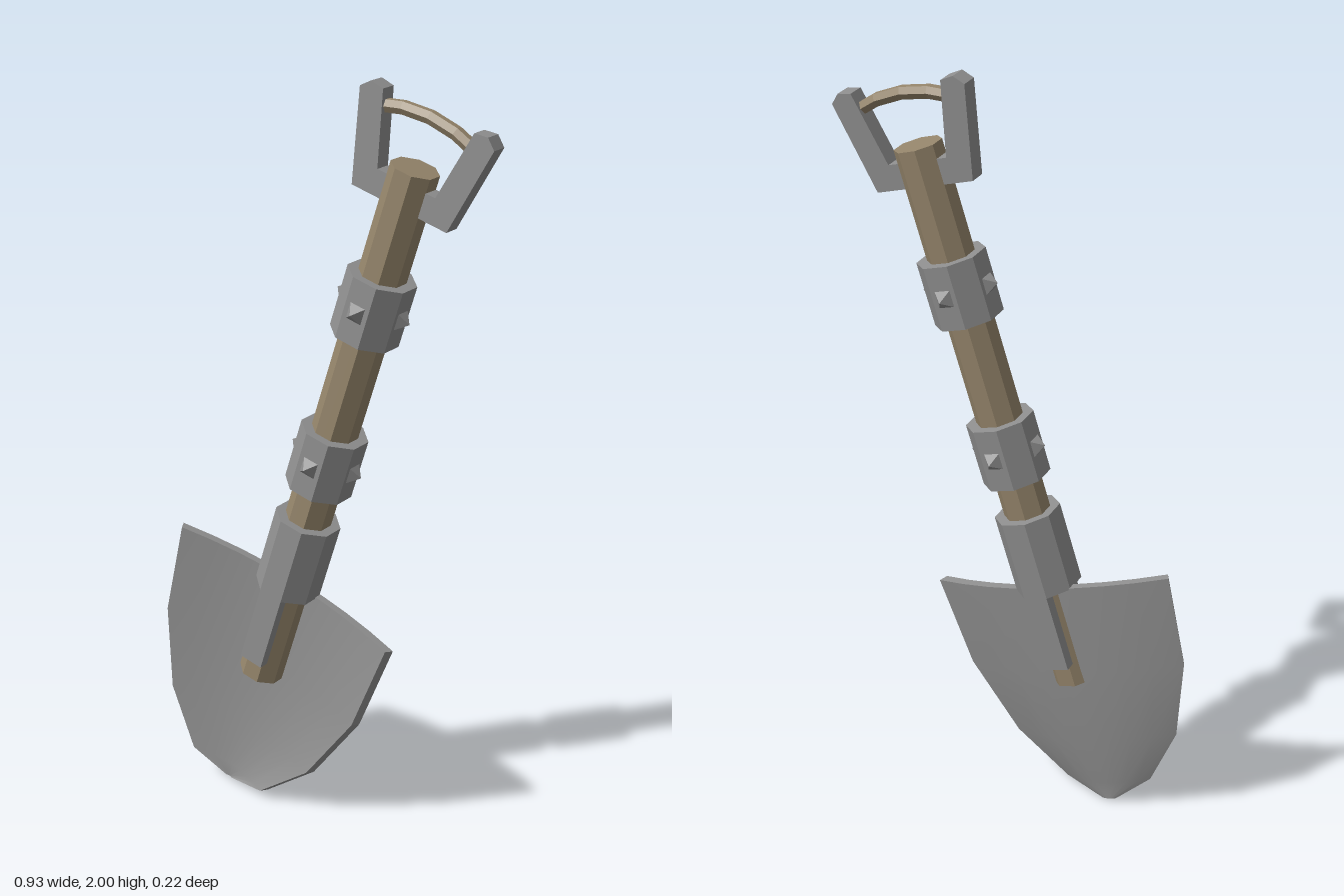
import * as THREE from 'three';

const steel = new THREE.MeshStandardMaterial({ color: 0x8f8f8f });
steel.name = 'steel';
const wood = new THREE.MeshStandardMaterial({ color: 0x95856b });
wood.name = 'wood';

// Gives every face its own flat normal
function flat(geo) {
  const g = geo.index ? geo.toNonIndexed() : geo;
  g.computeVertexNormals();
  return g;
}

function add(parent, name, geo, material, x = 0, y = 0, z = 0) {
  const mesh = new THREE.Mesh(geo, material);
  mesh.name = name;
  mesh.position.set(x, y, z);
  parent.add(mesh);
  return mesh;
}

// Eight-sided post from y0 to y1 with a flat side facing +z
function octagon(parent, name, radius, y0, y1, material) {
  const geo = new THREE.CylinderGeometry(radius, radius, y1 - y0, 8, 1, false, Math.PI / 8);
  return add(parent, name, flat(geo), material, 0, (y0 + y1) / 2, 0);
}

// Blade cross-sections: height, half width, edge depth, dish depth
const bladeRows = [
  [-0.325, 0.345, 0.022, 0.05],
  [-0.58, 0.322, 0.022, 0.05],
  [-0.797, 0.242, 0.022, 0.045],
  [-0.941, 0.127, 0.019, 0.028],
  [-0.992, 0.02, -0.007, 0.003],
];
const COLS = 8;
const LAST = bladeRows.length - 1;
const HALF_THICK = 0.011;
const INSET = 0.011;

// Point on the front (side 1) or back (side -1) face; the front is slightly smaller
function bladePoint(row, col, side) {
  const [y, w, edge, dish] = bladeRows[row];
  const t = (col / COLS) * 2 - 1;
  const inset = side > 0 ? INSET : 0;
  return [t * (w - inset), row === LAST ? y + inset : y, edge - dish * (1 - t * t) + side * HALF_THICK];
}

// One smooth dished face of the blade
function bladeFace(side) {
  const geo = new THREE.PlaneGeometry(1, 1, COLS, LAST);
  const pos = geo.attributes.position;
  for (let i = 0; i < pos.count; i++) {
    const col = i % (COLS + 1);
    const row = Math.floor(i / (COLS + 1));
    pos.setXYZ(i, ...bladePoint(row, side > 0 ? col : COLS - col, side));
  }
  geo.computeVertexNormals();
  return geo;
}

// Narrow strip joining the two faces, walked clockwise seen from the front
function bladeRim() {
  const loop = [];
  for (let c = 0; c < COLS; c++) loop.push([0, c]);
  for (let r = 0; r < LAST; r++) loop.push([r, COLS]);
  for (let c = COLS; c > 0; c--) loop.push([LAST, c]);
  for (let r = LAST; r > 0; r--) loop.push([r, 0]);
  const verts = [];
  loop.forEach((p, i) => {
    const q = loop[(i + 1) % loop.length];
    const a = bladePoint(...p, 1), b = bladePoint(...q, 1);
    const c = bladePoint(...q, -1), d = bladePoint(...p, -1);
    verts.push(...a, ...b, ...c, ...a, ...c, ...d);
  });
  const geo = new THREE.BufferGeometry();
  geo.setAttribute('position', new THREE.Float32BufferAttribute(verts, 3));
  return flat(geo);
}

function extrudeOutline(points, depth) {
  const shape = new THREE.Shape(points.map(([x, y]) => new THREE.Vector2(x, y)));
  const geo = new THREE.ExtrudeGeometry(shape, { depth, bevelEnabled: false });
  geo.translate(0, 0, -depth / 2);
  return flat(geo);
}

export function createModel() {
  const model = new THREE.Group();
  model.name = 'shovel';

  // Everything is built upright, then twisted and leaned
  const body = new THREE.Group();
  body.name = 'shovelBody';
  body.rotation.order = 'ZYX';
  body.rotation.set(0.01, THREE.MathUtils.degToRad(-12), THREE.MathUtils.degToRad(-16.2));
  body.position.set(0, 0.96, 0);
  model.add(body);

  octagon(body, 'shaft', 0.061, -0.61, 0.88, wood);

  // Socket with a strap down the front and back
  octagon(body, 'socket', 0.087, -0.33, -0.114, steel);
  for (const side of [1, -1]) {
    add(body, side > 0 ? 'frontStrap' : 'backStrap',
      flat(new THREE.BoxGeometry(0.066, 0.225, 0.03)), steel, 0, -0.432, side * 0.0653);
  }

  // Spiked collars
  [0.068, 0.511].forEach((y, n) => {
    const collar = new THREE.Group();
    collar.name = n ? 'upperCollar' : 'lowerCollar';
    collar.position.y = y;
    body.add(collar);
    octagon(collar, 'collarBand', 0.0885, -0.083, 0.083, steel);
    for (let i = 0; i < 4; i++) {
      const geo = new THREE.ConeGeometry(0.031, 0.027, 4, 1, false, Math.PI / 4);
      geo.rotateX(Math.PI / 2);
      geo.translate(0, 0, 0.0945);
      geo.rotateY((i * Math.PI) / 2);
      add(collar, 'spike', flat(geo), steel);
    }
  });

  // Flared brackets on both sides of the grip
  const bracket = [[0.035, 0.78], [0.137, 0.78], [0.189, 1.013], [0.164, 1.036],
    [0.128, 1.031], [0.083, 0.845], [0.035, 0.845]];
  add(body, 'leftBracket', extrudeOutline(bracket, 0.048), steel);
  const mirrored = bracket.map(([x, y]) => [-x, y]).reverse();
  add(body, 'rightBracket', extrudeOutline(mirrored, 0.048), steel);

  // Bowed six-sided grip bar, its ends buried in the brackets
  const gripPath = new THREE.QuadraticBezierCurve3(
    new THREE.Vector3(-0.145, 0.981, 0),
    new THREE.Vector3(0, 1.04, 0),
    new THREE.Vector3(0.145, 0.981, 0));
  add(body, 'gripBar', flat(new THREE.TubeGeometry(gripPath, 4, 0.018, 6)), wood);

  // Dished blade
  const blade = new THREE.Group();
  blade.name = 'blade';
  body.add(blade);
  add(blade, 'bladeFront', bladeFace(1), steel);
  add(blade, 'bladeBack', bladeFace(-1), steel);
  add(blade, 'bladeRim', bladeRim(), steel);

  return model;
}
